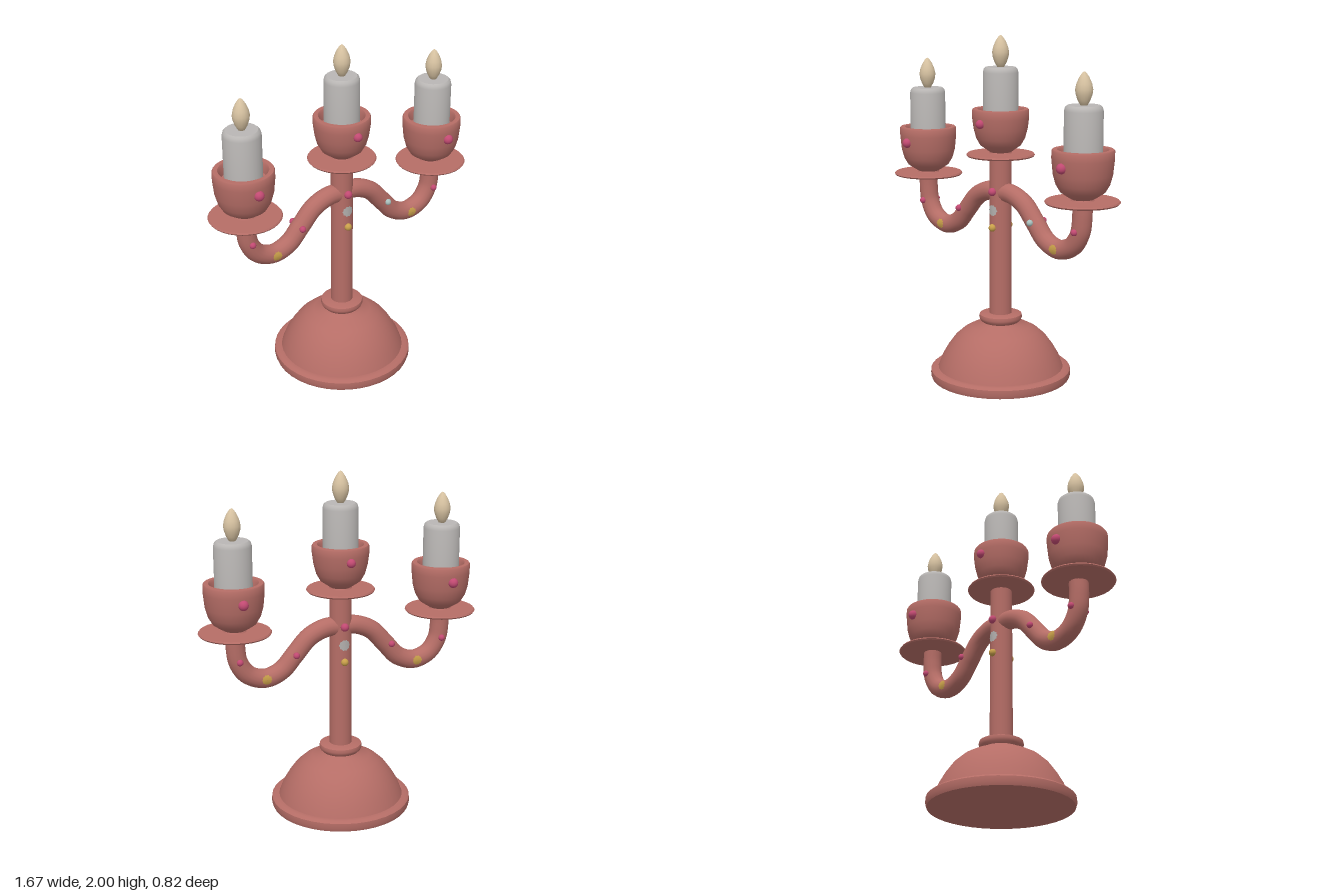
import * as THREE from 'three';
import { toCreasedNormals } from 'three/addons/utils/BufferGeometryUtils.js';

const mat = (name, color) => Object.assign(new THREE.MeshStandardMaterial({ color }), { name });
const copper = mat('copper red', 0xb56d66);
const wax = mat('wax grey', 0xb9b6b4);
const flameCream = mat('flame cream', 0xd8c3a2);
const pink = mat('gem pink', 0xc24a72);
const gold = mat('gem gold', 0xc9a04a);
const pale = mat('pale teal', 0xa9c0bd);
const silver = mat('silver patch', 0xb3b0ae);

export function createModel() {
  const root = new THREE.Group();
  root.name = 'candelabra';

  const add = (parent, name, geometry, material, x = 0, y = 0, z = 0) => {
    const mesh = new THREE.Mesh(geometry, material);
    mesh.name = name;
    mesh.position.set(x, y, z);
    parent.add(mesh);
    return mesh;
  };
  const lathe = (points, segments = 32, crease = 0.7) => toCreasedNormals(
    new THREE.LatheGeometry(points.map(([r, y]) => new THREE.Vector2(r, y)), segments), crease);

  // Domed base with foot rim and collar
  add(root, 'base', lathe([
    [0, 0], [0.405, 0], [0.412, 0.02], [0.41, 0.05], [0.395, 0.062], [0.367, 0.062],
    [0.345, 0.12], [0.31, 0.18], [0.27, 0.235], [0.22, 0.28], [0.17, 0.307], [0.12, 0.322],
    [0.108, 0.335], [0.12, 0.348], [0.126, 0.363], [0.122, 0.38], [0.105, 0.387], [0, 0.387],
  ], 40), copper);

  // Central stem
  add(root, 'stem', new THREE.CylinderGeometry(0.063, 0.065, 0.96, 24), copper, 0, 0.84, 0);

  // Swan-neck arms, mirrored left and right
  for (const s of [1, -1]) {
    const path = new THREE.CatmullRomCurve3([
      [0, 1.105], [0.09, 1.103], [0.19, 1.06], [0.28, 0.965], [0.36, 0.88], [0.46, 0.845],
      [0.56, 0.88], [0.615, 0.96], [0.629, 1.05], [0.629, 1.14],
    ].map(([x, y]) => new THREE.Vector3(s * x, y, 0)));
    add(root, s > 0 ? 'leftArm' : 'rightArm', new THREE.TubeGeometry(path, 48, 0.055, 16), copper);
  }

  // Drip plate, cup, candle and flame; y is the height of the plate
  const holder = (name, x, y, r, height) => {
    const g = new THREE.Group();
    g.name = name;
    g.position.set(x, y, 0);
    root.add(g);
    const plateR = r * 1.21;
    add(g, 'dripPlate', lathe([
      [0, -0.01], [plateR - 0.006, -0.008], [plateR, 0], [plateR - 0.006, 0.008], [0, 0.008],
    ]), copper);
    const h = height;
    add(g, 'cup', lathe([
      [0.07, 0], [0.06, 0.015], [r * 0.5, 0.03], [r * 0.72, 0.055], [r * 0.86, 0.095],
      [r * 0.95, 0.15], [r, h - 0.05], [r, h - 0.008], [r * 0.97, h], [r * 0.82, h],
      [r * 0.77, h - 0.012], [r * 0.74, h - 0.06], [0, h - 0.08],
    ]), copper);
    const c = r * 0.62, top = h + 0.235;
    add(g, 'candle', lathe([
      [0, 0.1], [c, 0.1], [c, top - 0.03], [c * 0.95, top - 0.01], [c * 0.84, top], [0, top],
    ], 28), wax);
    add(g, 'flame', lathe([
      [0, -0.006], [0.018, 0], [0.034, 0.028], [0.045, 0.06], [0.048, 0.085],
      [0.042, 0.115], [0.028, 0.148], [0.012, 0.172], [0, 0.181],
    ], 16, 1.2), flameCream, 0, top - 0.002, 0);
  };
  holder('centreHolder', 0, 1.323, 0.162, 0.262);
  holder('leftHolder', 0.629, 1.138, 0.17, 0.285);
  holder('rightHolder', -0.629, 1.138, 0.17, 0.285);

  // Round gems on both faces: x, y, z, radius, front colour, back colour
  const gems = [
    [0, 1.51, 0.16, 0.026, pink, pink],
    [0.625, 1.337, 0.166, 0.029, pink, pink],
    [-0.629, 1.337, 0.166, 0.029, pink, pink],
    [0, 1.113, 0.066, 0.024, pink, pink],
    [0, 0.903, 0.066, 0.022, gold, gold],
    [0.62, 0.975, 0.055, 0.019, pink, pink],
    [-0.62, 0.975, 0.055, 0.019, pink, pink],
    [0.288, 0.975, 0.055, 0.019, pale, pink],
    [-0.298, 0.975, 0.055, 0.019, pink, pink],
  ];
  for (const [x, y, z, r, front, back] of gems) {
    const geo = new THREE.SphereGeometry(r, 14, 10);
    add(root, 'frontGem', geo, front, x, y, z);
    add(root, 'backGem', geo, back, x, y, -z);
  }

  // Ragged inlay patches wrapped on a tube; axis is the direction of bend
  const patch = (name, material, x, y, radius, tubeR, axis) => {
    const geo = new THREE.RingGeometry(0.001, radius, 20, 4);
    const p = geo.attributes.position;
    for (let i = 0; i < p.count; i++) {
      const k = i % 21 % 2 ? 0.86 : 1;
      const px = p.getX(i) * k, py = p.getY(i) * k;
      const d = axis === 'x' ? px : py;
      p.setXYZ(i, px, py, Math.sqrt(tubeR * tubeR - d * d));
    }
    geo.computeVertexNormals();
    add(root, name, geo, material, x, y, 0);
    add(root, name, geo, material, x, y, 0).rotation.y = Math.PI;
  };
  patch('stemPatch', silver, 0, 1.005, 0.034, 0.068, 'x');
  patch('leftArmPatch', gold, 0.465, 0.853, 0.03, 0.058, 'y');
  patch('rightArmPatch', gold, -0.465, 0.853, 0.03, 0.058, 'y');

  return root;
}
